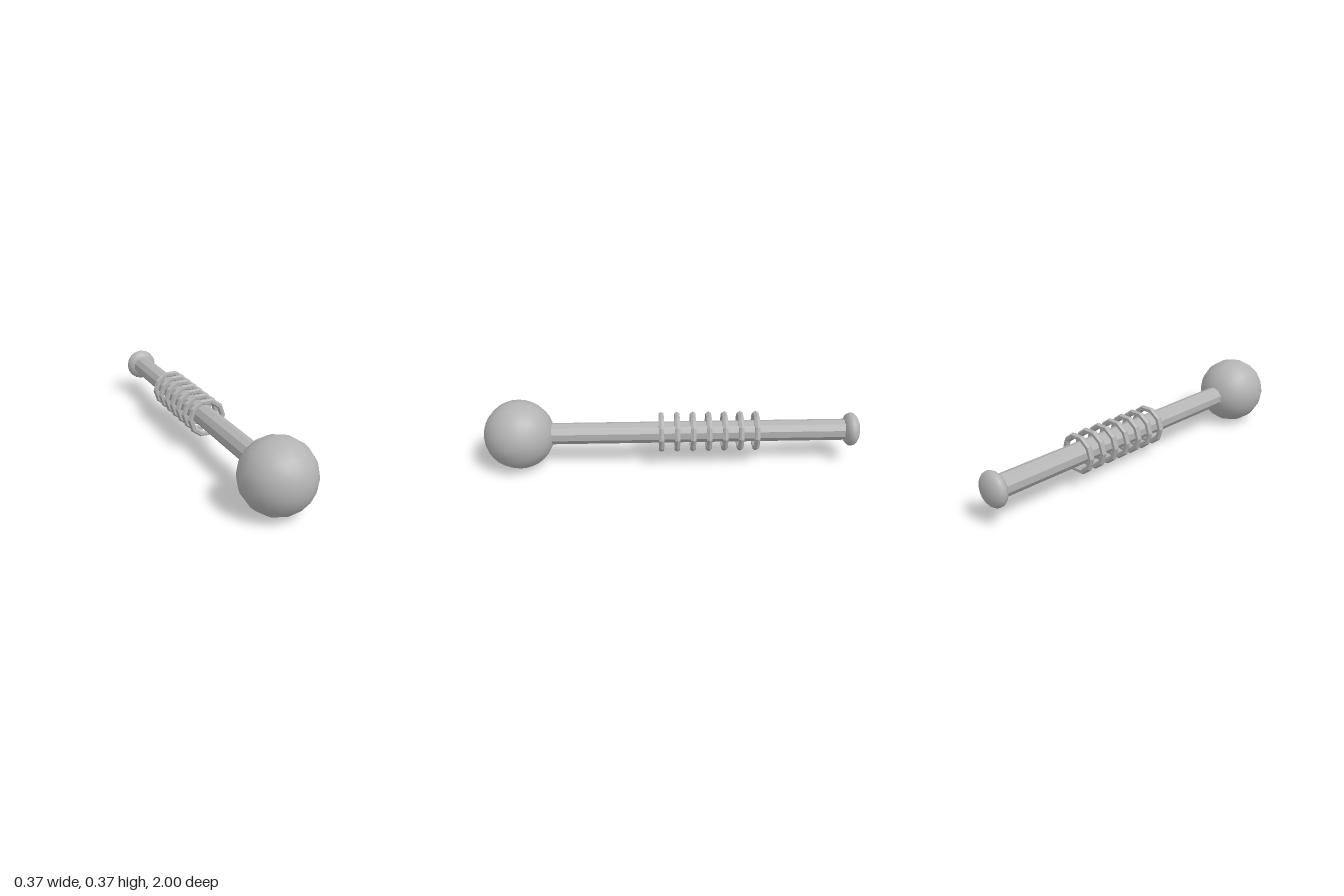
import * as THREE from 'three';

export function createModel() {
  const group = new THREE.Group();
  const metal = new THREE.MeshStandardMaterial({ color: 0xb4b4b4 });
  const axisY = 0.186;

  const add = (name, geometry, z) => {
    const mesh = new THREE.Mesh(geometry, metal);
    mesh.name = name;
    mesh.position.set(0, axisY, z);
    group.add(mesh);
    return mesh;
  };
  // Faceted parts get hard edges through split normals
  const faceted = (geometry) => {
    const g = geometry.toNonIndexed();
    g.computeVertexNormals();
    return g;
  };

  // Large ball at the front, poles along the shaft
  add('ballHead', new THREE.SphereGeometry(0.184, 16, 16).rotateX(Math.PI / 2), 0.816);

  // Ten-sided shaft running from inside the ball to the end knob
  const front = 0.7, back = -0.94;
  add('shaft', faceted(new THREE.CylinderGeometry(0.057, 0.057, front - back, 10).rotateX(Math.PI / 2)), (front + back) / 2);

  // Flattened knob closing the back end
  add('endKnob', new THREE.SphereGeometry(0.09, 16, 16).rotateX(Math.PI / 2).scale(1, 1, 0.53), -0.952);

  // Seven loose rings around the middle
  for (let i = 0; i < 7; i++) {
    add('ring' + (i + 1), faceted(new THREE.TorusGeometry(0.092, 0.016, 6, 10)), 0.064 - i * 0.084);
  }
  return group;
}
